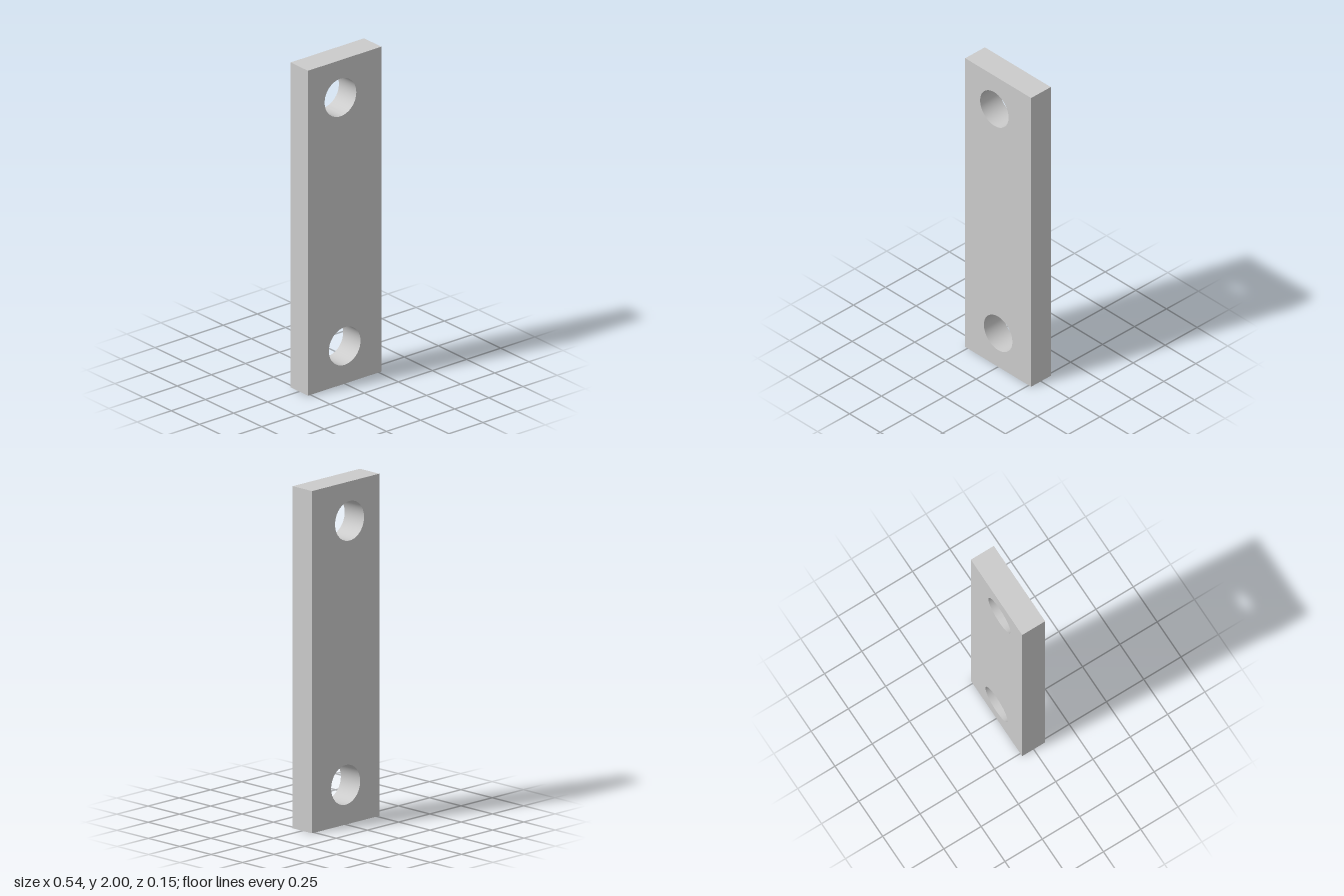
import * as THREE from 'three';
import { toCreasedNormals } from 'three/addons/utils/BufferGeometryUtils.js';

const WIDTH = 0.538, HEIGHT = 2, DEPTH = 0.154;
const HOLE_RADIUS = 0.116;
const HOLES = [[0, 0.232], [-0.031, 1.77]]; // lower hole centred, upper hole slightly offset

export function createModel() {
  const group = new THREE.Group();
  group.name = 'linkPlate';

  // Rectangular outline standing on the ground
  const w = WIDTH / 2;
  const outline = new THREE.Shape([
    new THREE.Vector2(-w, 0),
    new THREE.Vector2(w, 0),
    new THREE.Vector2(w, HEIGHT),
    new THREE.Vector2(-w, HEIGHT),
  ]);

  // Round through holes
  for (const [x, y] of HOLES) {
    outline.holes.push(new THREE.Path().absarc(x, y, HOLE_RADIUS, 0, Math.PI * 2, true));
  }

  // Plate with sharp edges and smooth hole walls
  const geometry = new THREE.ExtrudeGeometry(outline, {
    depth: DEPTH, bevelEnabled: false, curveSegments: 32,
  });
  geometry.translate(0, 0, -DEPTH / 2);
  const plate = new THREE.Mesh(
    toCreasedNormals(geometry, Math.PI / 6),
    new THREE.MeshStandardMaterial({ color: 0xcccccc })
  );
  plate.name = 'plate';
  group.add(plate);
  return group;
}
